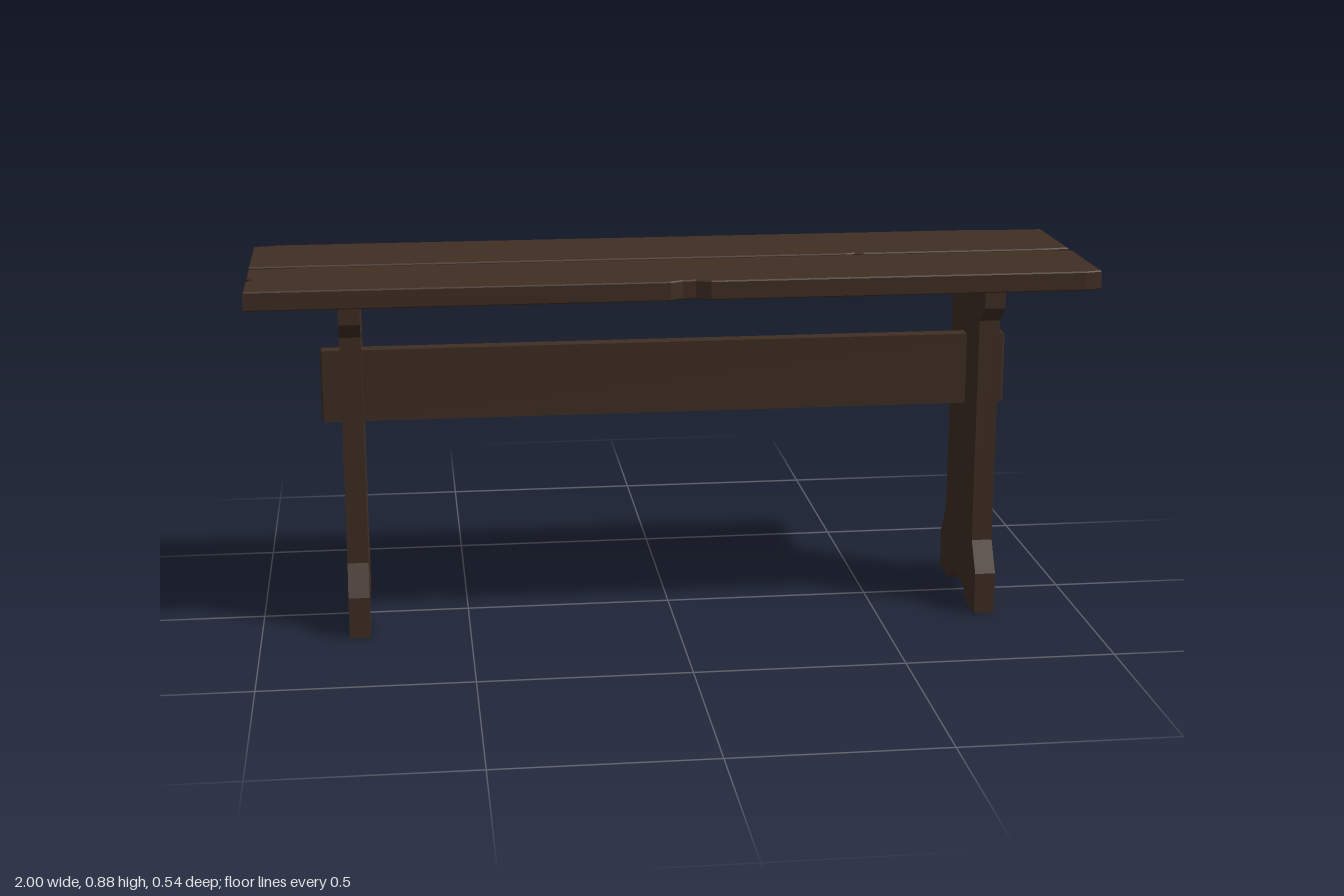
import * as THREE from 'three';

const BEVEL = 0.004;

// Extrudes an outline into a board with lightly eased edges, starting at depth 0.
function board(points, thickness, bevel = BEVEL) {
  const shape = new THREE.Shape(points.map(([a, b]) => new THREE.Vector2(a, b)));
  const geometry = new THREE.ExtrudeGeometry(shape, {
    depth: thickness - 2 * bevel,
    bevelEnabled: bevel > 0,
    bevelThickness: bevel,
    bevelSize: bevel,
    bevelOffset: -bevel,
    bevelSegments: 1,
  });
  return geometry.translate(0, 0, bevel);
}

export function createModel() {
  const group = new THREE.Group();
  const wood = new THREE.MeshStandardMaterial({ color: 0x402e24 });
  wood.name = 'darkWood';

  const add = (name, geometry) => {
    const mesh = new THREE.Mesh(geometry, wood);
    mesh.name = name;
    group.add(mesh);
  };

  // Seat planks: worn outlines given as x, z and laid flat below their top height
  const plank = (name, outline, top) =>
    add(name, board(outline, 0.046, 0.003).rotateX(Math.PI / 2).translate(0, top, 0));

  plank('backSeatPlank', [
    [-1, -0.255], [-0.93, -0.27], [0.83, -0.27], [0.865, -0.262], [0.995, -0.26],
    [0.995, -0.009], [0.93, -0.001], [0.48, -0.001], [0.46, -0.008], [0.44, -0.001],
    [-1, -0.001],
  ], 0.875);

  plank('frontSeatPlank', [
    [-1, 0.014], [-0.86, 0.002], [0.9, 0.002], [1, 0.011], [1, 0.258], [0.96, 0.268],
    [0.07, 0.268], [0.035, 0.253], [0.005, 0.253], [-0.025, 0.268], [-1, 0.268],
    [-1, 0.152], [-0.985, 0.134], [-1, 0.112],
  ], 0.872);

  // Leg boards: flared head and foot with an arched cut-out, as half-profile z, y
  const half = [
    [0.068, 0.03], [0.088, 0], [0.184, 0], [0.184, 0.102], [0.138, 0.175],
    [0.138, 0.73], [0.184, 0.77], [0.184, 0.83],
  ];
  const legOutline = [
    [0, 0.048], ...half, ...half.slice().reverse().map(([z, y]) => [-z, y]),
  ];
  for (const [name, x] of [['leftLeg', 0.74], ['rightLeg', -0.79]]) {
    add(name, board(legOutline, 0.05, 0).rotateY(Math.PI / 2).translate(x, 0, 0));
  }

  // Stretcher: upright rail passing through both legs
  const w = 0.019;
  add('stretcher', board([[-w, 0.495], [w, 0.495], [w, 0.671], [-w, 0.671]], 1.676)
    .rotateY(Math.PI / 2).translate(-0.84, 0, 0));

  return group;
}
